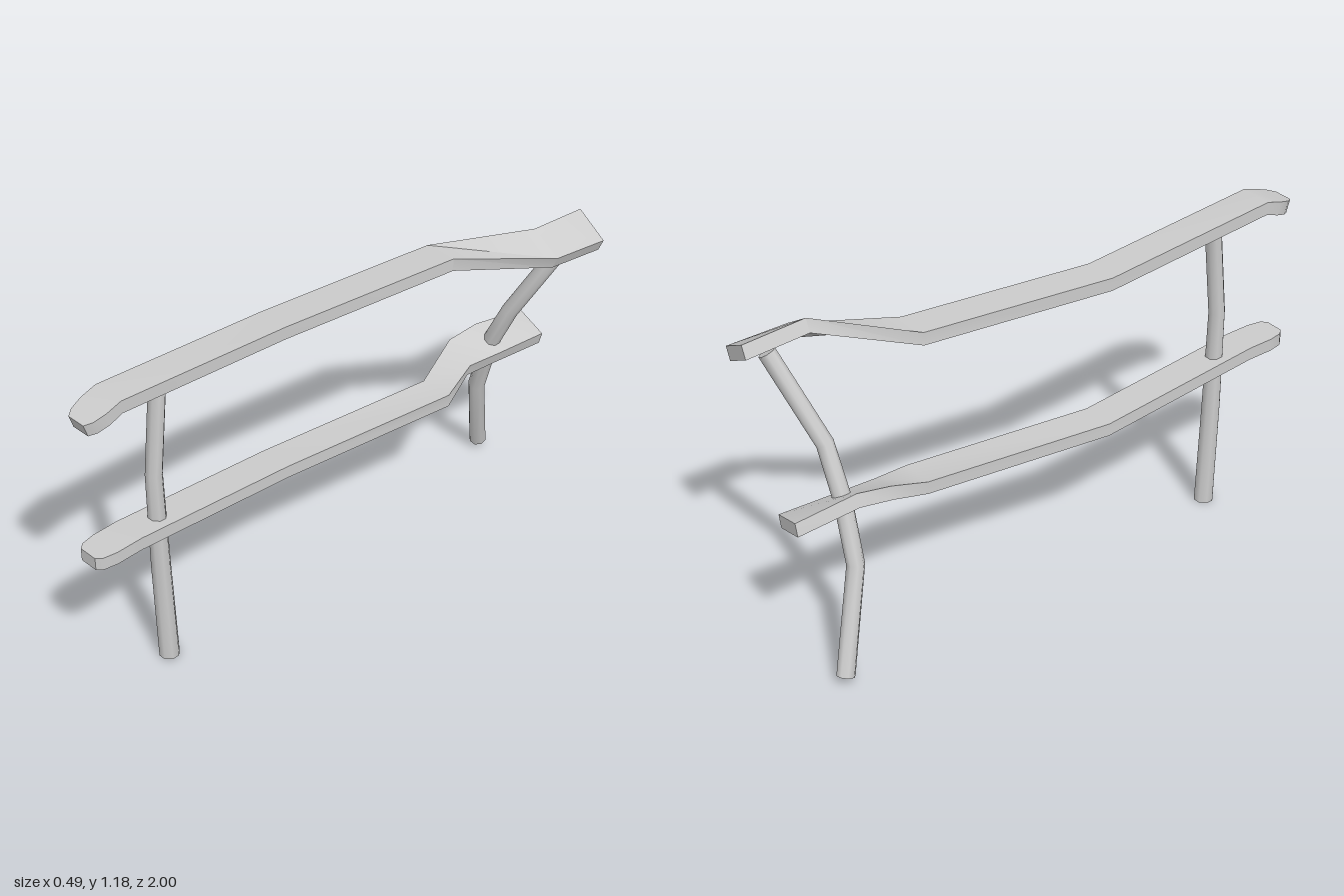
import * as THREE from 'three';
import { toCreasedNormals } from 'three/addons/utils/BufferGeometryUtils.js';

// Skins a list of equal-length rings of [x, y, z] points and caps both ends.
function loft(name, rings, crease) {
  const n = rings[0].length, last = (rings.length - 1) * n, index = [];
  for (let i = 0; i < rings.length - 1; i++) {
    for (let j = 0; j < n; j++) {
      const a = i * n + j, b = i * n + (j + 1) % n;
      index.push(a, b, b + n, a, b + n, a + n);
    }
  }
  for (let k = 1; k < n - 1; k++) {
    index.push(0, k + 1, k, last, last + k, last + k + 1);
  }
  const geometry = new THREE.BufferGeometry();
  geometry.setAttribute('position', new THREE.Float32BufferAttribute(rings.flat(2), 3));
  geometry.setIndex(index);
  const mesh = new THREE.Mesh(
    toCreasedNormals(geometry, crease),
    new THREE.MeshStandardMaterial({ color: 0xcccccc })
  );
  mesh.name = name;
  return mesh;
}

// A plank from stations: top left corner, top right corner, offset to the underside.
function plank(name, stations) {
  const add = (p, d) => p.map((v, i) => v + d[i]);
  const rings = stations.map(([l, r, d]) => [l, r, add(r, d), add(l, d)]);
  return loft(name, rings, 0.6);
}

// A straight-sided station centred on the plank's front run.
const FRONT_X = -0.156;
const flat = (half, y, z, dz = 0, x = FRONT_X) =>
  [[x - half, y, z], [x + half, y, z], [0, -0.047, dz]];

// An eight-sided bent pole through the given points, with a radius at each.
function pole(name, points, radii) {
  const path = points.map((p) => new THREE.Vector3(...p));
  const rings = path.map((c, i) => {
    const before = path[Math.max(i - 1, 0)], after = path[Math.min(i + 1, path.length - 1)];
    const t = after.clone().sub(before).normalize();
    const v = new THREE.Vector3(1, 0, 0).addScaledVector(t, -t.x).normalize();
    const u = v.clone().cross(t);
    return Array.from({ length: 8 }, (_, k) => {
      const a = (k + 0.5) * Math.PI / 4;
      return c.clone().addScaledVector(u, radii[i] * Math.cos(a))
        .addScaledVector(v, radii[i] * Math.sin(a)).toArray();
    });
  });
  return loft(name, rings, 0.95);
}

export function createModel() {
  const group = new THREE.Group();
  group.name = 'fence';

  // Top rail: rounded drooping front tip, twisted outward at the back
  group.add(plank('topRail', [
    flat(0.035, 1.135, 1.0, -0.015),
    flat(0.052, 1.143, 0.975, -0.015),
    flat(0.061, 1.157, 0.93, -0.012),
    flat(0.061, 1.175, 0.87, -0.003),
    flat(0.061, 1.12, 0.19),
    flat(0.061, 1.12, -0.49, 0, -0.057),
    [[0.115, 1.166, -0.77], [0.224, 1.097, -0.77], [-0.02, -0.045, 0]],
    [[0.122, 1.15, -1.0], [0.245, 1.083, -0.985], [-0.02, -0.045, 0]],
  ]));

  // Lower rail: rounded level front tip, banked at the back
  group.add(plank('lowerRail', [
    flat(0.035, 0.615, 1.0),
    flat(0.052, 0.615, 0.98),
    flat(0.061, 0.615, 0.93),
    flat(0.061, 0.615, 0.83),
    flat(0.061, 0.557, 0.19),
    flat(0.061, 0.557, -0.49, 0, -0.057),
    [[-0.155, 0.634, -0.66], [-0.035, 0.59, -0.64], [-0.012, -0.046, 0]],
    [[-0.142, 0.65, -0.78], [-0.02, 0.585, -0.78], [-0.015, -0.046, 0]],
    [[-0.122, 0.62, -1.0], [0.0, 0.58, -0.985], [-0.012, -0.046, 0]],
  ]));

  // Posts
  group.add(pole('frontPost',
    [[-0.157, 0, 0.698], [-0.157, 0.4, 0.71], [-0.157, 0.78, 0.715], [-0.157, 1.12, 0.678]],
    [0.036, 0.034, 0.03, 0.03]));
  group.add(pole('backPost',
    [[-0.221, 0.03, -0.908], [-0.14, 0.38, -0.797], [-0.08, 0.6, -0.795],
      [0.002, 0.77, -0.797], [0.153, 1.07, -0.895]],
    [0.032, 0.031, 0.031, 0.03, 0.03]));

  return group;
}
